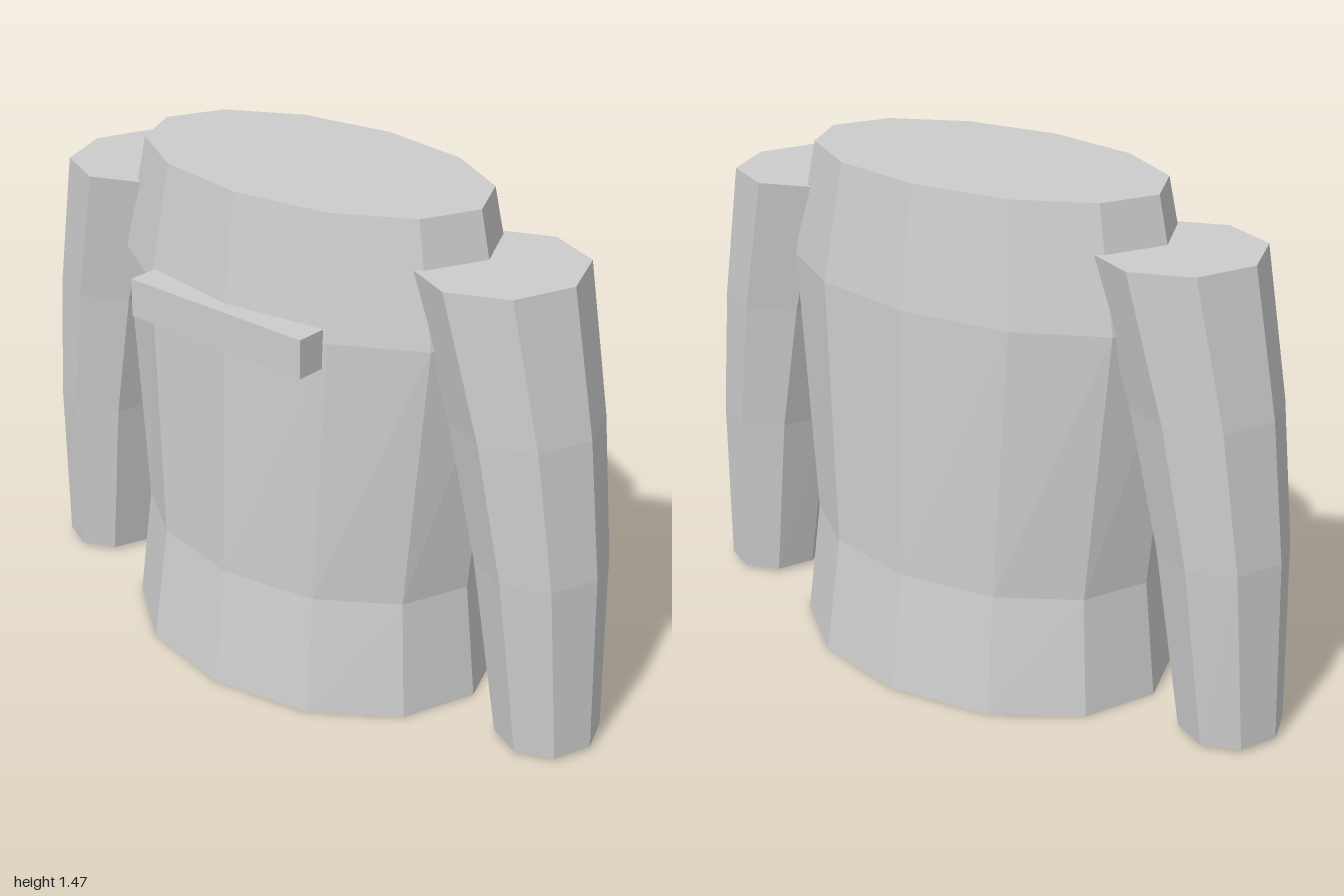
import * as THREE from 'three';

const plainGrey = new THREE.MeshStandardMaterial({ color: 0xcccccc });

// Faceted capped loft; each ring, bottom to top, is [y, centreX, radiusX, radiusZ]
function loft(name, sides, rings) {
  const last = rings.length - 1;
  const base = new THREE.CylinderGeometry(1, 1, 1, sides, last);
  const p = base.attributes.position;
  for (let i = 0; i < p.count; i++) {
    const [y, cx, rx, rz] = rings[Math.round((p.getY(i) + 0.5) * last)];
    p.setXYZ(i, cx + p.getX(i) * rx, y, p.getZ(i) * rz);
  }
  const geometry = base.toNonIndexed();
  geometry.computeVertexNormals();
  const mesh = new THREE.Mesh(geometry, plainGrey);
  mesh.name = name;
  return mesh;
}

export function createModel() {
  const model = new THREE.Group();
  model.name = 'torsoWithSleeves';

  // Torso: flared hem, waist, chest, narrower shoulders
  model.add(loft('torso', 12, [
    [0, 0, 0.602, 0.435],
    [0.345, 0, 0.565, 0.385],
    [1.125, 0, 0.642, 0.368],
    [1.465, 0, 0.565, 0.32],
  ]));

  // Tapering sleeves, curving outwards and down
  for (const side of [1, -1]) {
    model.add(loft(side > 0 ? 'leftSleeve' : 'rightSleeve', 8, [
      [0.01, side * 0.857, 0.143, 0.155],
      [0.535, side * 0.807, 0.178, 0.19],
      [0.93, side * 0.737, 0.203, 0.216],
      [1.335, side * 0.632, 0.23, 0.245],
    ]));
  }

  // Flat bar across the chest
  const bar = new THREE.Mesh(new THREE.BoxGeometry(0.615, 0.11, 0.09), plainGrey);
  bar.name = 'chestBar';
  bar.position.set(0, 1.107, 0.363);
  model.add(bar);

  return model;
}
